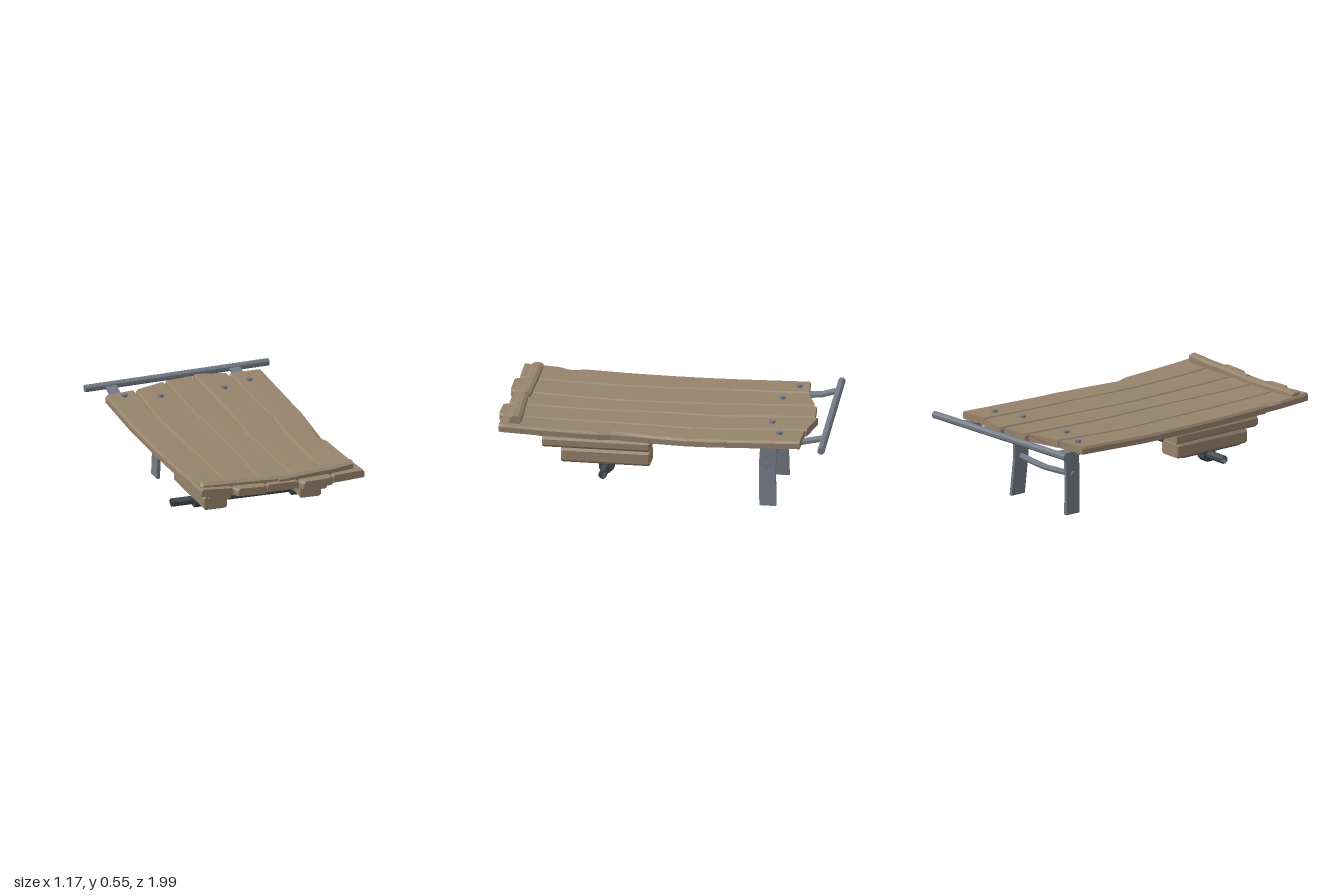
import * as THREE from 'three';

const mat = (name, color, side = THREE.FrontSide) => {
  const m = new THREE.MeshStandardMaterial({ color, side, flatShading: true });
  m.name = name;
  return m;
};

// Skin a list of equal-length rings of [x, y, z] points and cap both ends.
function loft(rings) {
  const pos = [], n = rings[0].length;
  const tri = (a, b, c) => pos.push(...a, ...b, ...c);
  for (let i = 0; i < rings.length - 1; i++) {
    for (let j = 0; j < n; j++) {
      const k = (j + 1) % n, p = rings[i], q = rings[i + 1];
      tri(p[j], p[k], q[k]);
      tri(p[j], q[k], q[j]);
    }
  }
  const first = rings[0], last = rings[rings.length - 1];
  for (let j = 1; j < n - 1; j++) {
    tri(first[0], first[j + 1], first[j]);
    tri(last[0], last[j], last[j + 1]);
  }
  const g = new THREE.BufferGeometry();
  g.setAttribute('position', new THREE.Float32BufferAttribute(pos, 3));
  g.computeVertexNormals();
  return g;
}

// Sagging deck surface
const deckY = (x, z) => 0.48 + 0.03 * z * z - 0.02 * (1 - 4 * x * x) * Math.max(0, z);

export function createModel() {
  const group = new THREE.Group();
  const wood = mat('weathered wood', 0x96836c);
  const steel = mat('grey steel', 0x747b87);
  const iron = mat('dark iron', 0x42494e, THREE.DoubleSide);
  const add = (name, geo, m) => {
    const mesh = new THREE.Mesh(geo, m);
    mesh.name = name;
    group.add(mesh);
    return mesh;
  };
  const rod = (name, a, b, r, m, sides = 8, open = false) => {
    const p = new THREE.Vector3(...a), q = new THREE.Vector3(...b), d = q.clone().sub(p);
    const geo = new THREE.CylinderGeometry(r, r, d.length(), sides, 1, open);
    geo.rotateY(Math.PI / sides);
    const mesh = add(name, geo, m);
    mesh.position.copy(p).add(q).multiplyScalar(0.5);
    mesh.quaternion.setFromUnitVectors(new THREE.Vector3(0, 1, 0), d.normalize());
    return mesh;
  };

  // Deck planks: seams between boards, sampled at the same z stations
  const zs = [-0.3, -0.15, 0.05, 0.3, 0.38, 0.6, 0.67, 0.76];
  const seams = [
    [-0.525, -0.53, -0.53, -0.53, -0.53, -0.53, -0.53, -0.525, -0.53, -0.53],
    [-0.325, -0.345, -0.34, -0.33, -0.325, -0.325, -0.325, -0.325, -0.325, -0.325],
    [-0.115, -0.108, -0.1, -0.095, -0.09, -0.095, -0.105, -0.108, -0.11, -0.118],
    [0.075, 0.09, 0.085, 0.072, 0.08, 0.085, 0.085, 0.085, 0.085, 0.085],
    [0.285, 0.305, 0.31, 0.295, 0.285, 0.285, 0.29, 0.29, 0.292, 0.295],
    [0.497, 0.497, 0.497, 0.482, 0.462, 0.478, 0.485, 0.487, 0.49, 0.497],
  ];
  const backEnds = [[-0.745, -0.765], [-0.77, -0.83], [-0.845, -0.862], [-0.882, -0.845], [-0.835, -0.835]];
  const frontEnds = [0.965, 0.99, 0.965, 0.995, 0.965];
  for (let k = 0; k < 5; k++) {
    const ring = (xl, xr, zl, zr, cl = 0.011, cr = 0.011) => {
      const pt = (x, z, drop) => [x, deckY(x, z) - drop, z];
      return [pt(xl, zl, 0.046), pt(xr, zr, 0.046), pt(xr, zr, 0.014),
        pt(xr - cr, zr, 0), pt(xl + cl, zl, 0), pt(xl, zl, 0.014)];
    };
    const L = seams[k], R = seams[k + 1], f = frontEnds[k], [bl, br] = backEnds[k];
    const rings = [ring(L[0] + 0.004, R[0] - 0.004, bl, br)];
    zs.forEach((z, i) => rings.push(ring(L[i + 1], R[i + 1], z, z,
      k === 0 && z === 0.67 ? 0.042 : 0.011, k === 4 && z === 0.3 ? 0.025 : 0.011)));
    rings.push(ring(L[9], R[9], f - 0.03, f - 0.03));
    const chip = k % 2 ? 0.02 : 0.003;
    rings.push(ring(L[9] + chip, R[9] - chip, f, f));
    add('deckPlank', loft(rings), wood);
  }

  // Two rough battens across the front of the deck
  const batten = (stations) => add('frontBatten', loft(stations.map(([x, y0, y1, z0, z1]) => [
    [x, y0, z1], [x, y0, z0], [x, y1 - 0.01, z0], [x, y1, z0 + 0.018], [x, y1, z1 - 0.02], [x, y1 - 0.014, z1],
  ])), wood);
  batten([[-0.515, 0.49, 0.522, 0.855, 0.915], [-0.5, 0.49, 0.529, 0.85, 0.922],
    [-0.28, 0.485, 0.522, 0.852, 0.92], [-0.035, 0.475, 0.515, 0.858, 0.922]]);
  batten([[-0.03, 0.475, 0.514, 0.868, 0.938], [0.2, 0.48, 0.528, 0.855, 0.925],
    [0.3, 0.485, 0.532, 0.848, 0.92], [0.445, 0.49, 0.545, 0.842, 0.908]]);

  // Stacked timber blocks under the deck
  const timber = (x0, x1, y0, y1, z0, z1) => {
    const ring = (z, s) => [[x0 + 0.012 + s, y0 + s], [x1 - 0.012 - s, y0 + s], [x1 - s, y0 + 0.014],
      [x1 - s, y1 - 0.014], [x1 - 0.012 - s, y1 - s], [x0 + 0.012 + s, y1 - s],
      [x0 + s, y1 - 0.014], [x0 + s, y0 + 0.014]].map(([x, y]) => [x, y, z]);
    add('axleTimber', loft([ring(z0, 0.004), ring(z0 + 0.01, 0), ring(z1 - 0.012, 0), ring(z1, 0.004)]), wood);
  };
  timber(-0.39, -0.24, 0.385, 0.455, -0.07, 0.77);
  timber(-0.385, -0.245, 0.32, 0.384, 0.085, 0.70);
  timber(-0.39, -0.24, 0.235, 0.322, 0.085, 0.615);
  timber(0.215, 0.34, 0.385, 0.455, 0.085, 0.77);
  timber(0.222, 0.346, 0.322, 0.384, 0.085, 0.73);
  timber(0.212, 0.35, 0.235, 0.322, 0.085, 0.615);

  // Axle pipe, with a sleeve and mounting plate under each stack
  rod('axlePipe', [-0.502, 0.207, 0.35], [0.455, 0.207, 0.35], 0.025, iron, 8, true);
  for (const x of [-0.331, 0.277]) {
    const profile = [[0.026, -0.031], [0.047, -0.031], [0.047, 0.031], [0.026, 0.031], [0.026, -0.031]];
    const sleeve = add('axleSleeve', new THREE.LatheGeometry(
      profile.map(([r, y]) => new THREE.Vector2(r, y)), 8).rotateY(Math.PI / 8).rotateZ(Math.PI / 2), iron);
    sleeve.position.set(x, 0.209, 0.35);
    add('mountingPlate', new THREE.BoxGeometry(0.075, 0.012, 0.43), iron).position.set(x, 0.232, 0.355);
  }

  // Rear leg frame: bent flat legs, top strap and sagging stretcher
  const leg = (stations) => add('rearLeg', loft(stations.map(([x, y, z]) => [
    [x - 0.01, y, z + 0.05], [x + 0.01, y, z + 0.05], [x + 0.01, y, z - 0.05], [x - 0.01, y, z - 0.05],
  ])), steel);
  leg([[-0.255, 0, -0.61], [-0.248, 0.24, -0.603], [-0.25, 0.447, -0.615]]);
  leg([[0.26, 0, -0.61], [0.235, 0.24, -0.603], [0.228, 0.447, -0.615]]);
  add('legTopStrap', new THREE.BoxGeometry(0.49, 0.02, 0.095), steel).position.set(-0.011, 0.438, -0.615);
  const path = new THREE.CatmullRomCurve3([[-0.25, 0.242], [-0.12, 0.234], [0, 0.226], [0.12, 0.233], [0.235, 0.242]]
    .map(([x, y]) => new THREE.Vector3(x, y, -0.604)));
  add('legStretcher', new THREE.TubeGeometry(path, 6, 0.019, 8), steel);
  rod('stretcherBolt', [-0.268, 0.242, -0.604], [-0.235, 0.242, -0.604], 0.02, steel);
  rod('stretcherBolt', [0.22, 0.242, -0.604], [0.255, 0.242, -0.604], 0.02, steel);

  // Rear push bar on two flat brackets
  rod('pushBar', [-0.588, 0.484, -0.921], [0.584, 0.484, -0.977], 0.022, steel);
  for (const [x, end] of [[-0.427, -0.925], [0.363, -0.965]]) {
    const ring = (z, y) => [[x - 0.033, y, z], [x + 0.033, y, z], [x + 0.033, y + 0.018, z], [x - 0.033, y + 0.018, z]];
    add('pushBarBracket', loft([ring(end, 0.475), ring(-0.83, 0.445), ring(-0.64, 0.43)]), steel);
  }

  // Bolts through the deck
  for (const [x, z, low] of [[-0.42, -0.695, 0.422], [-0.218, -0.622, 0.416], [0.185, -0.625, 0.416], [0.367, -0.695, 0.422]]) {
    rod('deckBolt', [x, low, z], [x, deckY(x, z) + 0.016, z], 0.018, steel);
  }
  return group;
}
